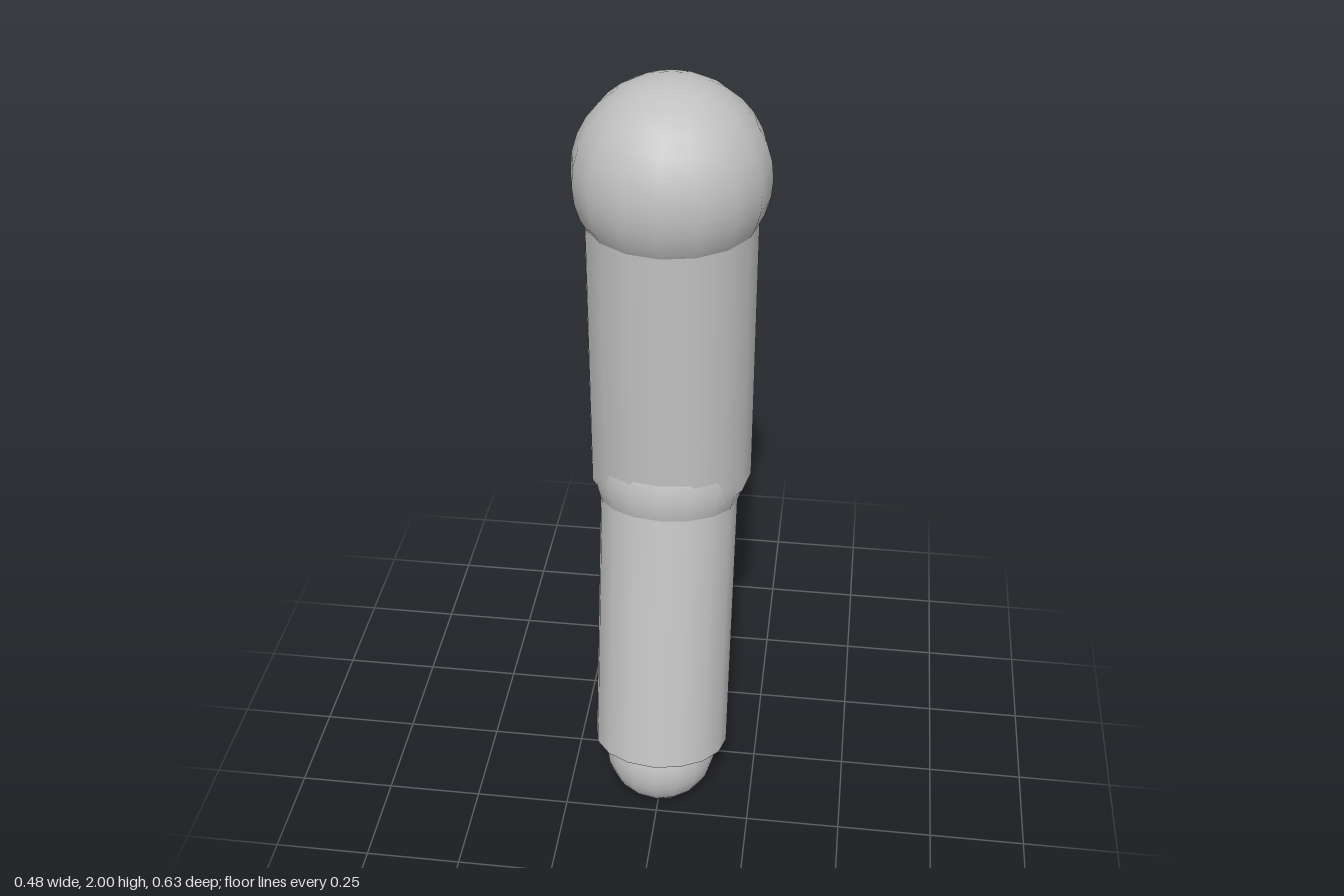
import * as THREE from 'three';

// A jointed arm: ball joints linked by two straight segments.
export function createModel() {
  const model = new THREE.Group();
  model.name = 'arm';
  const grey = new THREE.MeshStandardMaterial({ color: 0xc0c0c0 });
  grey.name = 'light grey';

  const SIDES = 16;
  const shoulderPos = new THREE.Vector3(0, 1.762, -0.076);
  const upperArmEnd = new THREE.Vector3(0, 0.93, -0.076);
  const elbowPos = new THREE.Vector3(0, 0.95, -0.049);
  const wristPos = new THREE.Vector3(0, 0.184, 0.138);
  const handPos = new THREE.Vector3(0, 0.149, 0.143);

  function ball(name, radius, position, tilt = 0) {
    const mesh = new THREE.Mesh(new THREE.SphereGeometry(radius, SIDES, SIDES), grey);
    mesh.name = name;
    mesh.position.copy(position);
    mesh.rotation.x = tilt;
    model.add(mesh);
  }

  // Capped cylinder running between two points in the x = 0 plane
  function segment(name, radius, top, bottom) {
    const axis = top.clone().sub(bottom);
    const mesh = new THREE.Mesh(new THREE.CylinderGeometry(radius, radius, axis.length(), SIDES), grey);
    mesh.name = name;
    mesh.position.copy(top).add(bottom).multiplyScalar(0.5);
    mesh.rotation.x = Math.atan2(axis.z, axis.y);
    model.add(mesh);
    return mesh.rotation.x;
  }

  // Upper arm
  ball('shoulder', 0.238, shoulderPos);
  segment('upperArm', 0.209, shoulderPos, upperArmEnd);

  // Forearm, bent slightly forward
  const bend = segment('forearm', 0.179, elbowPos, wristPos);
  ball('elbow', 0.195, elbowPos, bend);
  ball('hand', 0.149, handPos);

  return model;
}
